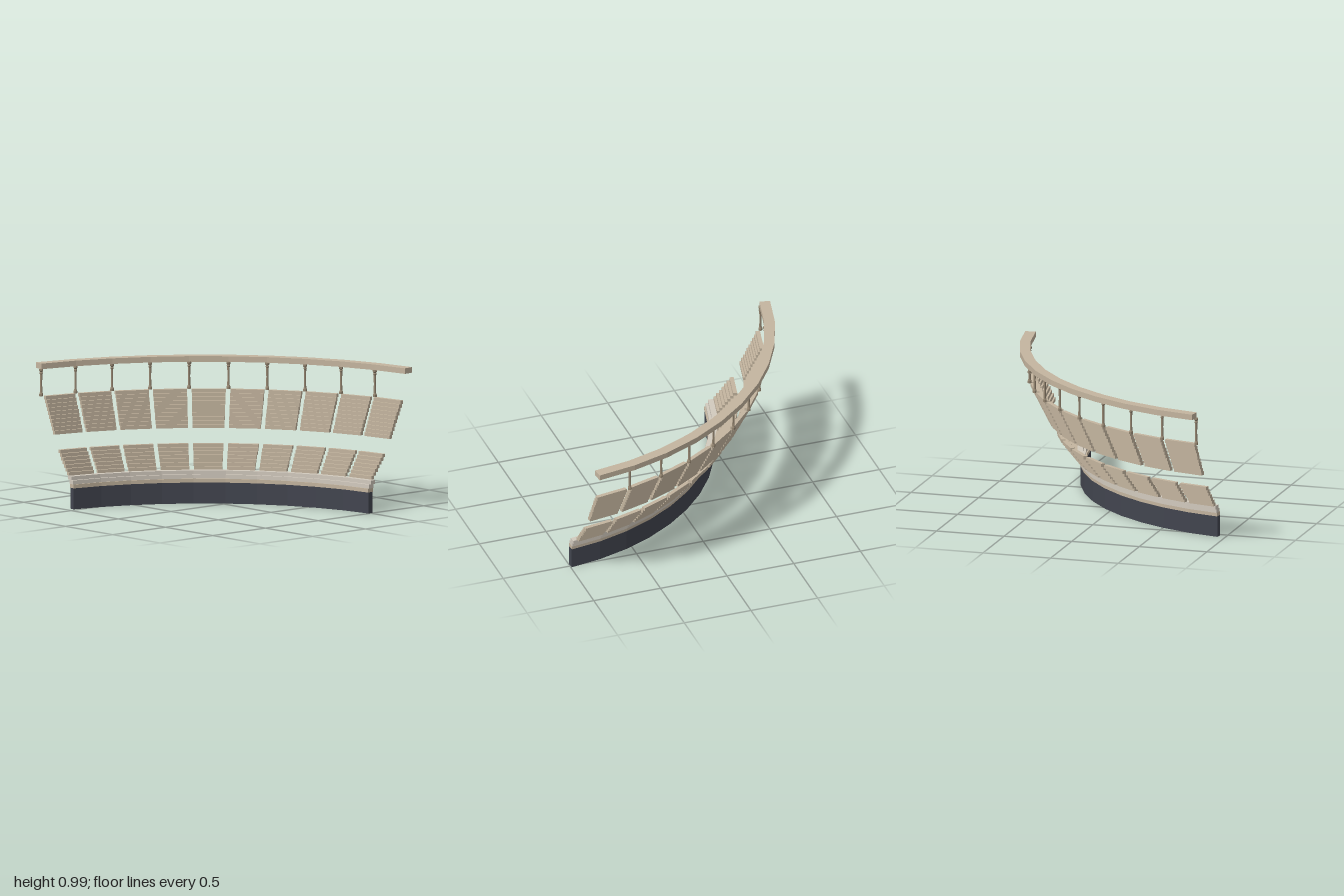
import * as THREE from 'three';

const RAD = Math.PI / 180;
const STEP = 7.5;          // angle of one bay, degrees
const BAYS = 10;
const START = 6;           // first bay edge, degrees from +x towards -z
const CENTRE = [-1.231, 1.165]; // centre of all the arcs (x, z)

const mat = (color) => new THREE.MeshStandardMaterial({ color, flatShading: true });

// Faceted curved band between two radii and two heights
function band(name, r0, r1, y0, y1, start, material) {
  const pts = [];
  const at = (r, i) => {
    const a = (start + i * STEP) * RAD;
    pts.push(new THREE.Vector2(r * Math.cos(a), r * Math.sin(a)));
  };
  for (let i = 0; i <= BAYS; i++) at(r1, i);
  for (let i = BAYS; i >= 0; i--) at(r0, i);
  const geo = new THREE.ExtrudeGeometry(new THREE.Shape(pts), { depth: y1 - y0, bevelEnabled: false });
  geo.rotateX(-Math.PI / 2);
  const mesh = new THREE.Mesh(geo, material);
  mesh.position.y = y0;
  mesh.name = name;
  return mesh;
}

// Sloping panel of overlapping horizontal slats, facing along -x before turning
function slatPanel(name, r0, r1, y0, y1, count, material) {
  const panel = new THREE.Group();
  panel.name = name;
  const depth = 0.03, gap = 0.034, h = (y1 - y0) / count;
  for (let i = 0; i < count; i++) {
    const r = r0 + depth / 2 + (r1 - r0 - depth) * i / (count - 1);
    const length = 2 * r * Math.tan(STEP / 2 * RAD) - gap;
    const slat = new THREE.Mesh(new THREE.BoxGeometry(depth, h, length), material);
    slat.position.set(r, y0 + h * (i + 0.5), 0);
    slat.name = 'slat';
    panel.add(slat);
  }
  return panel;
}

export function createModel() {
  const model = new THREE.Group();
  model.name = 'curvedSlattedTerrace';
  const arc = new THREE.Group();
  arc.name = 'arc';
  arc.position.set(CENTRE[0], 0, CENTRE[1]);
  model.add(arc);

  const tan = mat(0xc4b59f);
  const pale = mat(0xd2cabe);
  const dark = mat(0x42454f);
  const brown = mat(0x968772);

  // Base wall with its stepped cap
  const low = START - 0.4;
  arc.add(
    band('baseWall', 1.717, 1.759, 0, 0.15, low, dark),
    band('wallCap', 1.715, 1.764, 0.15, 0.177, low, tan),
    band('lowerStep', 1.724, 1.772, 0.177, 0.205, low, pale),
    band('upperStep', 1.742, 1.788, 0.205, 0.232, low, pale)
  );

  // Handrail
  arc.add(band('handrail', 2.114, 2.19, 0.95, 0.99, START, tan));

  // Turned post with a foot and a capital
  const profile = [
    [0, 0.757], [0.014, 0.757], [0.014, 0.772], [0.009, 0.785], [0.0075, 0.85],
    [0.009, 0.912], [0.013, 0.922], [0.009, 0.93], [0.015, 0.938], [0.015, 0.951], [0, 0.951]
  ].map(([r, y]) => new THREE.Vector2(r, y));
  const postGeo = new THREE.LatheGeometry(profile, 8);

  // Two slat panels per bay, one post at each bay's far edge
  for (let i = 0; i < BAYS; i++) {
    const bay = new THREE.Group();
    bay.name = 'bay';
    bay.rotation.y = (START + (i + 0.5) * STEP) * RAD;
    bay.add(
      slatPanel('lowerPanel', 1.778, 1.922, 0.232, 0.4, 7, tan),
      slatPanel('upperPanel', 1.964, 2.111, 0.5, 0.76, 10, tan)
    );
    arc.add(bay);

    const a = (START + (i + 1) * STEP) * RAD;
    const post = new THREE.Mesh(postGeo, brown);
    post.name = 'post';
    post.position.set(2.121 * Math.cos(a), 0, -2.121 * Math.sin(a));
    post.rotation.y = a;
    arc.add(post);
  }
  return model;
}
